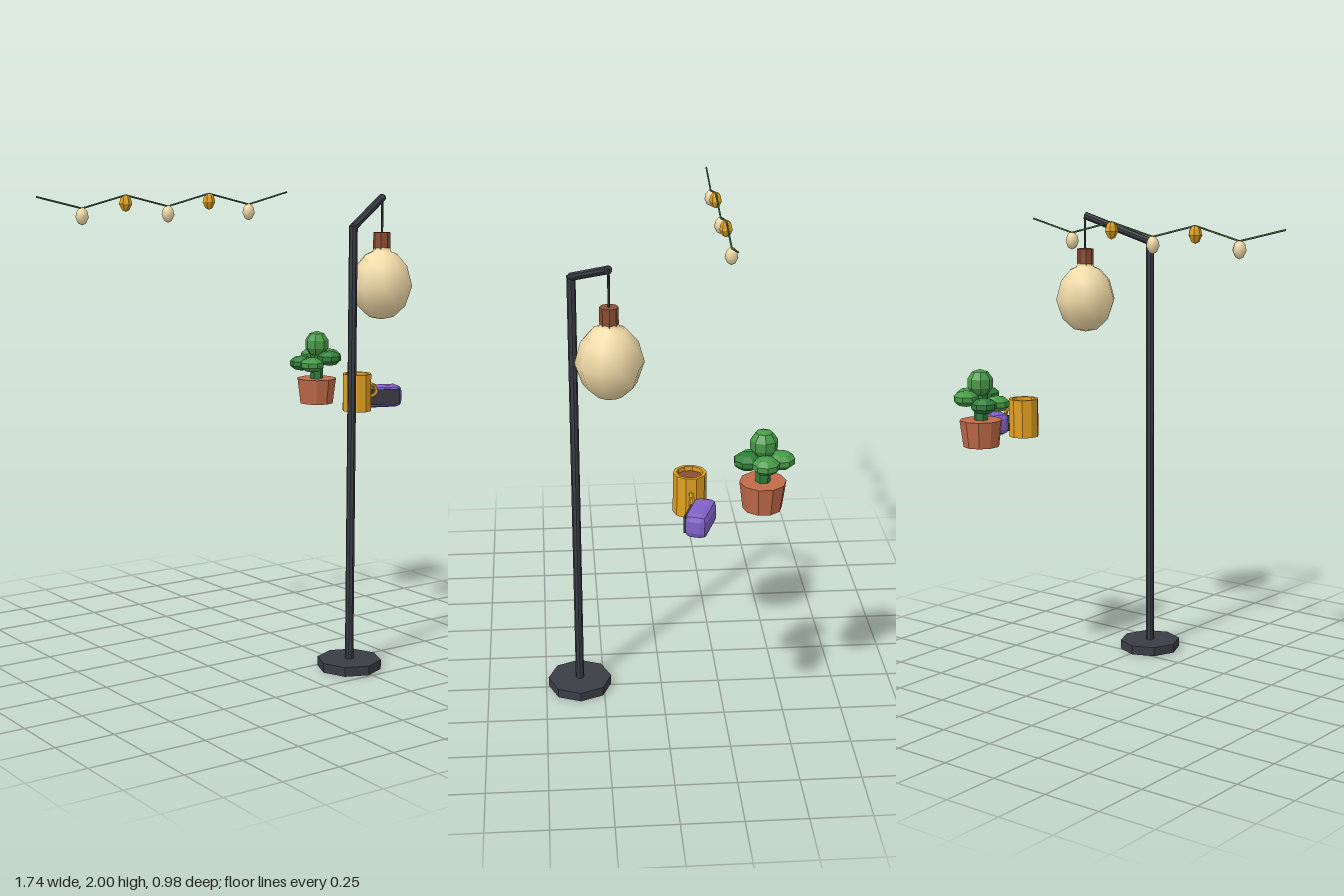
import * as THREE from 'three';
import { RoundedBoxGeometry } from 'three/addons/geometries/RoundedBoxGeometry.js';

const V = (x, y, z) => new THREE.Vector3(x, y, z);
const mat = (color, extra = {}) => new THREE.MeshStandardMaterial({ color, flatShading: true, ...extra });
const DARK = mat(0x3a3d45);
const CREAM = mat(0xf2dba8, { flatShading: false, side: THREE.DoubleSide });
const BROWN = mat(0x8a4f35);
const AMBER = mat(0xe0a020, { side: THREE.DoubleSide });
const GREENS = [mat(0x489a48), mat(0x2f7f3a)];
const CLAY = mat(0xc06a4a);
const PURPLE = mat(0x8262c8);
const WIRE = mat(0x55794d);

function add(parent, name, geometry, material, x = 0, y = 0, z = 0) {
  const mesh = new THREE.Mesh(geometry, material);
  mesh.name = name;
  mesh.position.set(x, y, z);
  parent.add(mesh);
  return mesh;
}

function group(parent, name, x, y, z) {
  const g = new THREE.Group();
  g.name = name;
  g.position.set(x, y, z);
  parent.add(g);
  return g;
}

// Straight round bar between two points
function bar(parent, name, a, b, radius, sides, material) {
  const dir = b.clone().sub(a);
  const mesh = add(parent, name, new THREE.CylinderGeometry(radius, radius, dir.length(), sides), material);
  mesh.position.copy(a).add(b).multiplyScalar(0.5);
  mesh.quaternion.setFromUnitVectors(V(0, 1, 0), dir.normalize());
  return mesh;
}

const lathe = (points, sides) =>
  new THREE.LatheGeometry(points.map(([r, y]) => new THREE.Vector2(r, y)), sides);

function addFloorLamp(root) {
  const lamp = group(root, 'floorLamp', 0.238, 0, 0.354);
  add(lamp, 'lampBase', new THREE.CylinderGeometry(0.136, 0.136, 0.04, 8), DARK, 0, 0.02, 0);
  bar(lamp, 'lampPole', V(0, 0.04, 0), V(0, 1.875, 0), 0.018, 8, DARK);
  const tip = V(0.26, 1.982, -0.136);
  bar(lamp, 'lampArm', V(0, 1.87, 0), tip, 0.017, 8, DARK);
  // Hanging shade
  const pendant = group(lamp, 'pendant', tip.x, 0, tip.z);
  bar(pendant, 'cable', V(0, 1.82, 0), V(0, 1.985, 0), 0.005, 6, DARK);
  add(pendant, 'socket', new THREE.CylinderGeometry(0.037, 0.037, 0.072, 8), BROWN, 0, 1.799, 0);
  add(pendant, 'globe', lathe([
    [0, 1.465], [0.055, 1.477], [0.106, 1.525], [0.135, 1.61], [0.112, 1.695], [0.07, 1.742], [0.04, 1.755], [0.037, 1.77],
  ], 10), CREAM);
}

function addStringLights(root) {
  const lights = group(root, 'stringLights', 0, 0, -0.285);
  const pts = [];
  for (let i = 0; i < 7; i++) pts.push(V(-0.875 + i * 0.206, i % 2 ? 1.945 : 1.995, 0));
  for (let i = 0; i < 6; i++) bar(lights, 'wire', pts[i], pts[i + 1], 0.004, 5, WIRE);
  const bulb = lathe([[0, -0.069], [0.016, -0.061], [0.028, -0.036], [0.022, -0.012], [0.012, 0], [0, 0.002]], 7);
  for (let i = 1; i < 6; i++) add(lights, 'bulb', bulb, i % 2 ? CREAM : AMBER, pts[i].x, pts[i].y, 0);
}

function addPlant(root) {
  const plant = group(root, 'pottedPlant', 0.598, 1.02, -0.373);
  add(plant, 'pot', new THREE.CylinderGeometry(0.093, 0.078, 0.115, 10), CLAY, 0, 0.0575, 0);
  const leaf = new THREE.SphereGeometry(0.057, 8, 5);
  // Ring of squashed leaf clumps around a taller crown
  for (let i = 0; i < 5; i++) {
    const a = (i * Math.PI * 2) / 5;
    const low = i === 2 || i === 3;
    const clump = add(plant, 'leafClump', leaf, GREENS[i % 2],
      Math.cos(a) * 0.07, low ? 0.185 : 0.213, Math.sin(a) * 0.07);
    clump.scale.y = 0.62;
    clump.rotation.y = -a;
  }
  add(plant, 'leafCrown', leaf, GREENS[0], 0, 0.275, 0).scale.y = 1.05;
  bar(plant, 'stem', V(0, 0.1, 0), V(0, 0.25, 0), 0.03, 6, GREENS[1]);
}

function addMug(root) {
  const mug = group(root, 'mug', 0.609, 1.02, -0.084);
  add(mug, 'mugBody', lathe([[0, 0], [0.066, 0], [0.066, 0.168], [0.052, 0.168], [0.052, 0.145]], 10), AMBER);
  add(mug, 'drink', new THREE.CircleGeometry(0.053, 10), BROWN, 0, 0.15, 0).rotation.x = -Math.PI / 2;
  add(mug, 'mugHandle', new THREE.TorusGeometry(0.027, 0.009, 5, 8), AMBER, 0.083, 0.085, 0);
}

function addGadget(root) {
  const gadget = group(root, 'gadget', 0.773, 1.07, -0.112);
  gadget.rotation.y = -0.35;
  add(gadget, 'gadgetBody', new RoundedBoxGeometry(0.18, 0.1, 0.09, 1, 0.026), PURPLE);
  add(gadget, 'gadgetScreen', new THREE.BoxGeometry(0.145, 0.07, 0.008), DARK, 0, 0, 0.044);
}

export function createModel() {
  const model = new THREE.Group();
  model.name = 'cozyCornerSet';
  addFloorLamp(model);
  addStringLights(model);
  addPlant(model);
  addMug(model);
  addGadget(model);
  return model;
}
